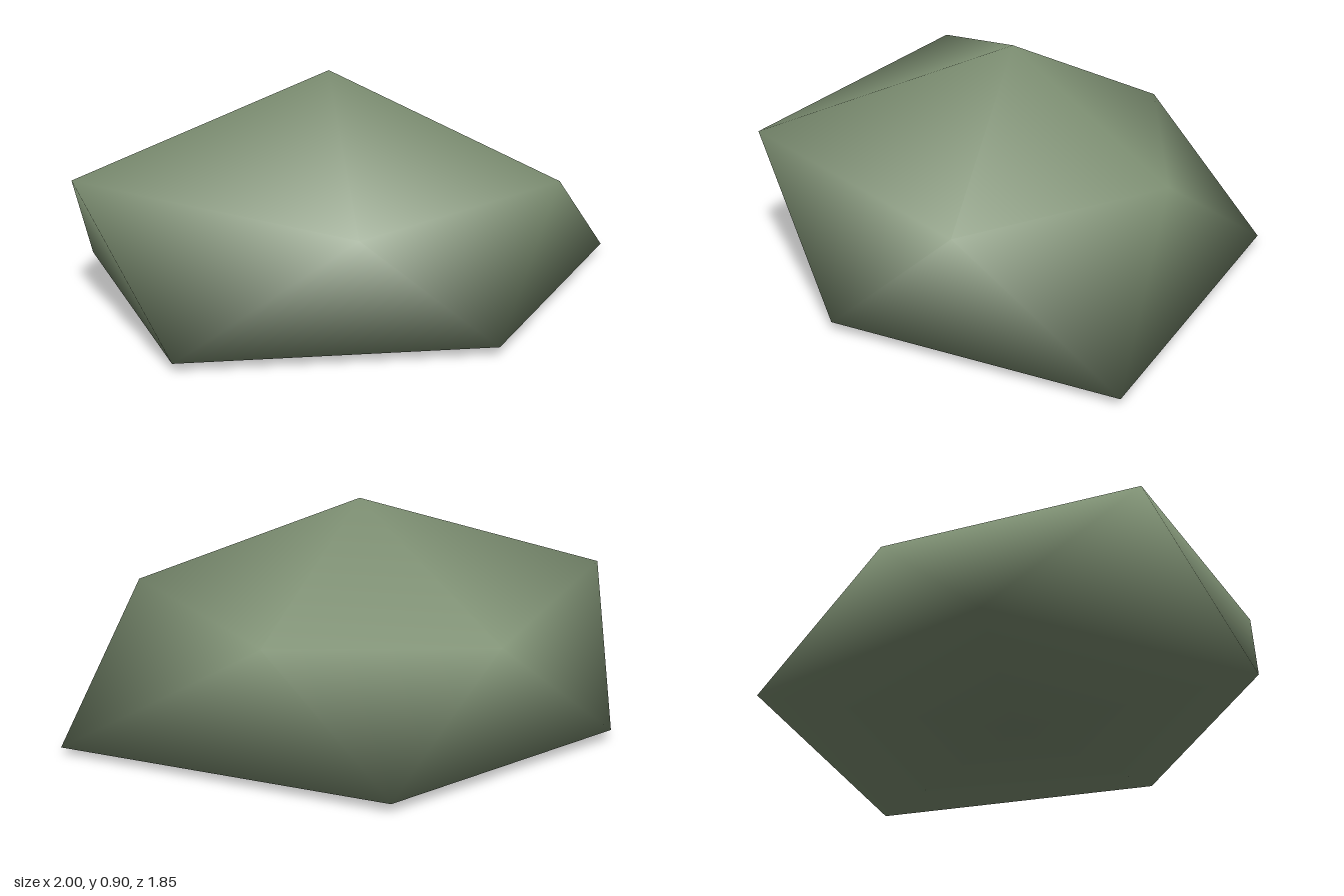
import * as THREE from 'three';

// Outline rings of the boulder, five corners each, as [x, y, z]
const UPPER = [[0.9, 0.52, -0.02], [0.34, 0.58, 0.92], [-0.86, 0.56, 0.53], [-0.64, 0.48, -0.43], [0.21, 0.48, -0.66]];
const LOWER = [[0.77, 0.04, 0.49], [-0.35, 0.04, 0.92], [-1, 0.045, -0.02], [-0.34, 0.04, -0.93], [1, 0.03, -0.66]];
const PEAK = [0, 0.9, 0];
const BASE = [0, 0, 0];

// Stone skin: a cap, a zigzag band and a shallow underside, sharing vertices for smooth normals
function stoneGeometry() {
  const n = UPPER.length;
  const peak = 2 * n;
  const base = peak + 1;
  const index = [];
  for (let i = 0; i < n; i++) {
    const j = (i + 1) % n;
    index.push(peak, j, i); // cap
    index.push(i, j, n + i, j, n + j, n + i); // band
    index.push(n + i, n + j, base); // underside
  }
  const geometry = new THREE.BufferGeometry();
  const points = [...UPPER, ...LOWER, PEAK, BASE].flat();
  geometry.setAttribute('position', new THREE.Float32BufferAttribute(points, 3));
  geometry.setIndex(index);
  geometry.computeVertexNormals();
  return geometry;
}

export function createModel() {
  const mossyStone = new THREE.MeshStandardMaterial({ color: 0x7f9174 });
  mossyStone.name = 'mossy stone';

  const boulder = new THREE.Mesh(stoneGeometry(), mossyStone);
  boulder.name = 'boulder';

  const model = new THREE.Group();
  model.name = 'rock';
  model.add(boulder);
  return model;
}
